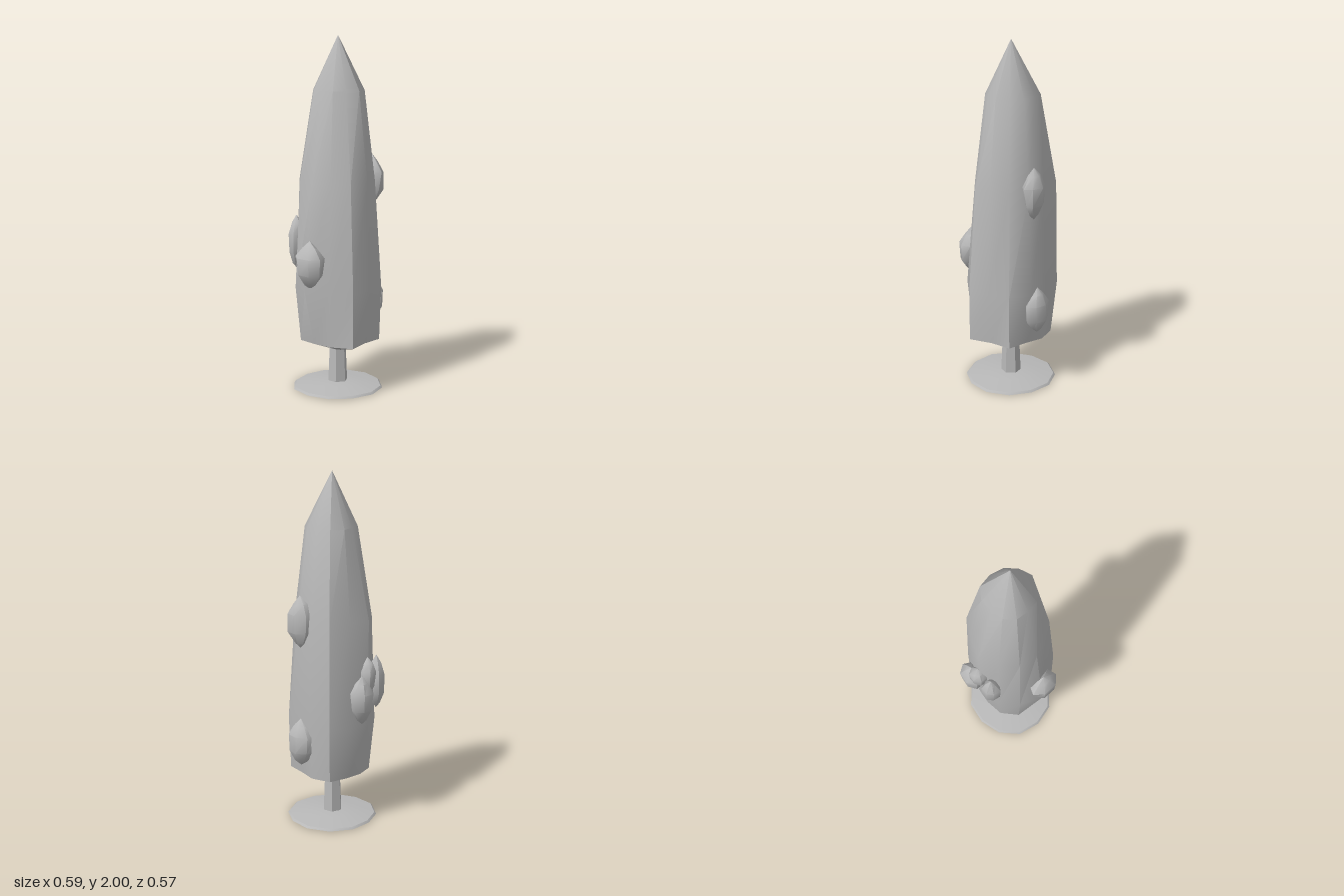
import * as THREE from 'three';
import { toCreasedNormals } from 'three/addons/utils/BufferGeometryUtils.js';

const stone = new THREE.MeshStandardMaterial({ color: 0xb8b8b8 });
stone.name = 'plain grey';

// Small seeded generator for the uneven shapes
function seeded(seed) {
  let s = seed;
  return () => (s = (s * 16807) % 2147483647) / 2147483647;
}

// Closed skin over rings of { y, r: [radius per side] }, from bottom to top
function loft(rings, crease) {
  const n = rings[0].r.length;
  const positions = [];
  const index = [];
  for (const { y, r } of rings) {
    r.forEach((radius, k) => {
      const a = (k / n) * Math.PI * 2;
      positions.push(radius * Math.cos(a), y, radius * Math.sin(a));
    });
  }
  for (let i = 0; i < rings.length - 1; i++) {
    for (let k = 0; k < n; k++) {
      const a = i * n + k, b = i * n + ((k + 1) % n);
      if (rings[i].r[0] > 0) index.push(a, a + n, b);
      if (rings[i + 1].r[0] > 0) index.push(b, a + n, b + n);
    }
  }
  const geometry = new THREE.BufferGeometry();
  geometry.setAttribute('position', new THREE.Float32BufferAttribute(positions, 3));
  geometry.setIndex(index);
  return toCreasedNormals(geometry, crease);
}

const even = (n, radius) => new Array(n).fill(radius);

function addPart(group, name, geometry, x, y, z) {
  const mesh = new THREE.Mesh(geometry, stone);
  mesh.name = name;
  mesh.position.set(x, y, z);
  group.add(mesh);
  return mesh;
}

// Pointed, uneven tuft of leaves
function tuftGeometry(seed, w, h, d) {
  const random = seeded(seed);
  const ring = (y, radius) => ({
    y,
    r: even(7, radius).map((v) => v * (0.88 + 0.24 * random())),
  });
  const geometry = loft([
    { y: -1, r: even(7, 0) },
    ring(-0.82, 0.42),
    ring(-0.4, 0.9),
    ring(0.3, 1),
    ring(0.7, 0.55),
    { y: 1, r: even(7, 0) },
  ], 0.75);
  geometry.scale(w, h, d);
  geometry.computeBoundingBox();
  return toCreasedNormals(geometry, 0.75);
}

export function createModel() {
  const tree = new THREE.Group();
  tree.name = 'tree';
  const c = 0.02;

  // Low domed ground disc
  const rim = [0.26, 0.255, 0.26, 0.262, 0.258, 0.262, 0.258, 0.262, 0.255, 0.25, 0.258, 0.26];
  addPart(tree, 'groundDisc', loft([
    { y: 0, r: even(12, 0) },
    { y: 0.003, r: rim },
    { y: 0.014, r: rim.map((v) => v * 0.96) },
    { y: 0.03, r: rim.map((v) => v * 0.5) },
    { y: 0.038, r: even(12, 0) },
  ], 0.5), c, 0, c);

  // Six-sided trunk
  const trunk = new THREE.CylinderGeometry(0.047, 0.058, 0.26, 6);
  addPart(tree, 'trunk', toCreasedNormals(trunk, 0.5), c, 0.14, c);

  // Tall uneven crown
  addPart(tree, 'crown', loft([
    { y: 0.21, r: even(12, 0) },
    { y: 0.29, r: [0.21, 0.19, 0.24, 0.205, 0.265, 0.22, 0.2, 0.22, 0.21, 0.19, 0.19, 0.23] },
    { y: 0.6, r: [0.23, 0.24, 0.25, 0.24, 0.265, 0.25, 0.275, 0.25, 0.24, 0.24, 0.24, 0.262] },
    { y: 1.2, r: [0.21, 0.21, 0.21, 0.215, 0.22, 0.2, 0.21, 0.22, 0.22, 0.24, 0.22, 0.25] },
    { y: 1.7, r: [0.15, 0.15, 0.15, 0.155, 0.14, 0.14, 0.13, 0.14, 0.14, 0.13, 0.15, 0.16] },
    { y: 2, r: even(12, 0) },
  ], 0.65), c, 0, c);

  // Tufts growing out of the crown: position, then half sizes
  const tufts = [
    [0.217, 1.19, 0.1, 0.052, 0.148, 0.08],
    [0.235, 0.5, 0.087, 0.06, 0.138, 0.087],
    [-0.235, 0.755, 0.04, 0.06, 0.135, 0.09],
    [-0.07, 0.83, -0.215, 0.055, 0.155, 0.052],
    [0.03, 0.88, -0.22, 0.055, 0.115, 0.05],
    [0.085, 0.76, -0.22, 0.075, 0.14, 0.06],
  ];
  tufts.forEach(([x, y, z, w, h, d], i) => {
    addPart(tree, `leafTuft${i + 1}`, tuftGeometry(1234567 + 7919 * i, w, h, d), x, y, z);
  });

  return tree;
}
